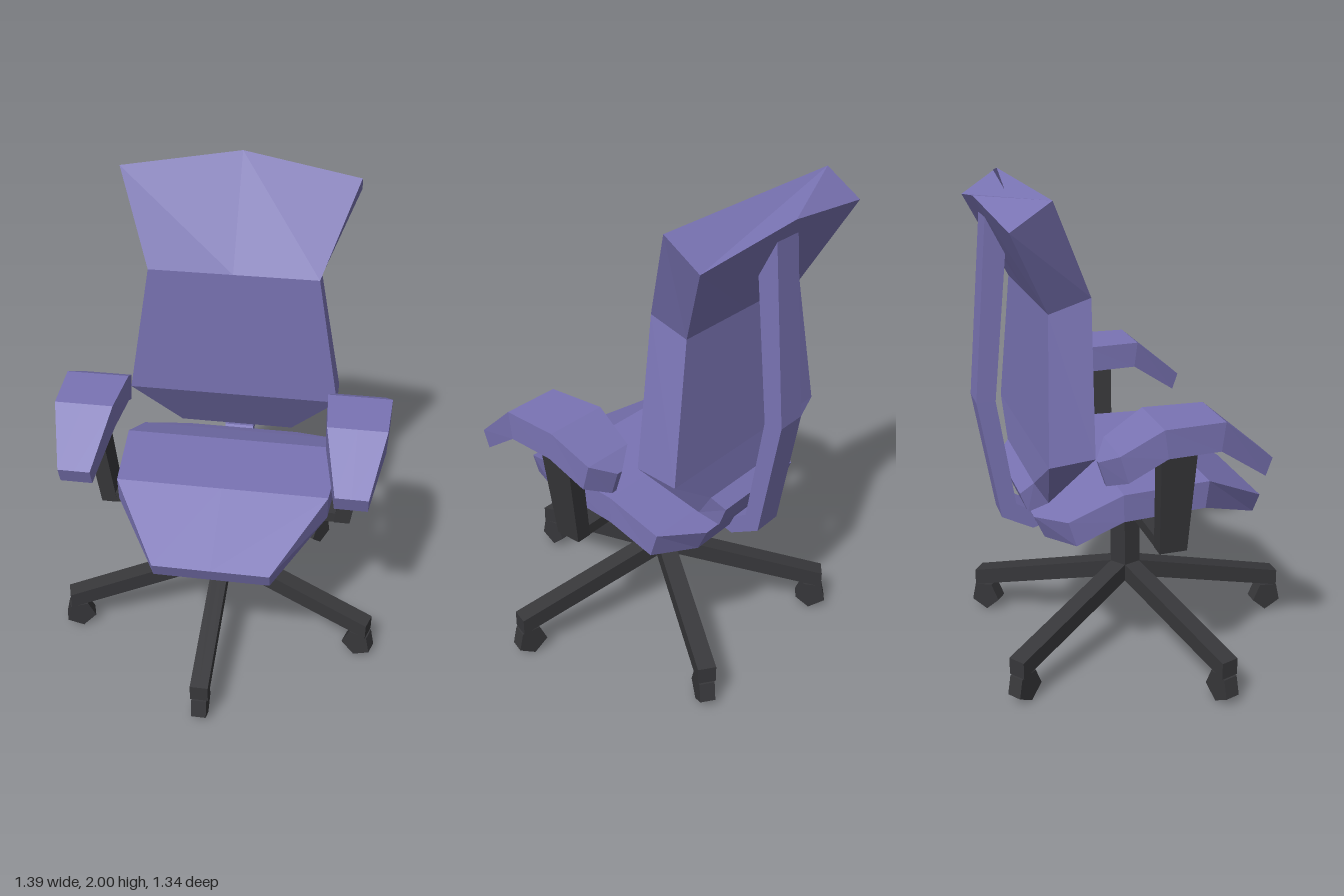
import * as THREE from 'three';

// Closed faceted solid through a list of equal-length cross-section loops.
function loft(sections) {
  const tris = [];
  const n = sections[0].length, last = sections.length - 1;
  for (let s = 0; s < last; s++) {
    for (let i = 0; i < n; i++) {
      const j = (i + 1) % n;
      const a = sections[s][i], b = sections[s][j], c = sections[s + 1][j], d = sections[s + 1][i];
      tris.push([a, b, c], [a, c, d]);
    }
  }
  for (let i = 1; i < n - 1; i++) {
    tris.push([sections[0][0], sections[0][i + 1], sections[0][i]]);
    tris.push([sections[last][0], sections[last][i], sections[last][i + 1]]);
  }
  // A negative volume means the faces point inward, so reverse them.
  const V = (p) => new THREE.Vector3(...p);
  let volume = 0;
  for (const [a, b, c] of tris) volume += V(a).dot(V(b).cross(V(c)));
  if (volume < 0) tris.forEach((t) => t.reverse());
  const geo = new THREE.BufferGeometry();
  geo.setAttribute('position', new THREE.Float32BufferAttribute(tris.flat(2), 3));
  geo.computeVertexNormals();
  return geo;
}

// Symmetric slab. Each row: half width, outer y, z, inner y, z,
// and optionally the outer and inner y, z on the centre line.
function slab(rows) {
  return loft(rows.map(([w, y1, z1, y2, z2, cy1 = y1, cz1 = z1, cy2 = y2, cz2 = z2]) => [
    [-w, y1, z1], [0, cy1, cz1], [w, y1, z1],
    [w, y2, z2], [0, cy2, cz2], [-w, y2, z2],
  ]));
}

// Rectangle in a horizontal plane.
const rect = (x0, x1, y, z0, z1) => [[x0, y, z0], [x1, y, z0], [x1, y, z1], [x0, y, z1]];

export function createModel() {
  const model = new THREE.Group();
  model.name = 'officeChair';
  const purple = new THREE.MeshStandardMaterial({ color: 0x7a74b4 });
  purple.name = 'purple upholstery';
  const black = new THREE.MeshStandardMaterial({ color: 0x37373a });
  black.name = 'black frame';

  const add = (name, geo, mat, parent = model) => {
    const mesh = new THREE.Mesh(geo, mat);
    mesh.name = name;
    parent.add(mesh);
    return mesh;
  };

  // Seat cushion with drooping front and rear
  add('seat', slab([
    [0.235, 0.66, 0.47, 0.59, 0.44],
    [0.435, 0.84, 0.165, 0.73, 0.15],
    [0.465, 0.84, -0.19, 0.73, -0.19],
    [0.44, 0.745, -0.40, 0.645, -0.37],
    [0.25, 0.70, -0.49, 0.61, -0.45],
  ]), purple).position.x = 0.02;

  // Backrest with flared headrest
  add('backrest', slab([
    [0.485, 1.95, -0.445, 1.85, -0.595, 2.0, -0.55, 1.91, -0.63],
    [0.35, 1.58, -0.28, 1.53, -0.44],
    [0.45, 1.0, -0.30, 0.985, -0.475],
    [0.25, 0.76, -0.435, 0.85, -0.49],
    [0.22, 0.72, -0.51, 0.80, -0.54],
  ]), purple);

  // Curved spine joining the backrest to the seat underside
  add('spine', slab([
    [0.065, 1.84, -0.60, 1.70, -0.53],
    [0.065, 1.13, -0.665, 1.13, -0.59],
    [0.065, 0.64, -0.585, 0.69, -0.525],
    [0.065, 0.575, -0.46, 0.645, -0.45],
    [0.065, 0.685, -0.08, 0.74, -0.08],
  ]), purple);

  // Armrests: pad and post on each side
  for (const side of [1, -1]) {
    const label = side > 0 ? 'left' : 'right';
    const pad = add(label + 'ArmPad', slab([
      [0.065, 0.99, 0.355, 0.92, 0.33],
      [0.118, 1.17, 0.145, 1.06, 0.13],
      [0.13, 1.17, -0.09, 1.06, -0.075],
      [0.105, 1.08, -0.245, 0.975, -0.215],
      [0.012, 1.03, -0.30, 0.935, -0.27],
    ]), purple);
    pad.position.set(side * 0.545 + 0.003, 0, side > 0 ? 0 : -0.02);

    const x = (v) => side * v + 0.012;
    add(label + 'ArmPost', loft([
      rect(x(0.468), x(0.535), 0.615, -0.075, 0.035),
      rect(x(0.525), x(0.597), 1.08, -0.09, 0.052),
    ]), black);
  }

  // Crossbar under the seat
  add('armCrossbar', new THREE.BoxGeometry(1.04, 0.045, 0.11), black).position.set(0.012, 0.64, -0.02);

  // Five-sided column, a flat facing forward
  const columnGeo = new THREE.CylinderGeometry(0.064, 0.064, 0.44, 5).toNonIndexed();
  columnGeo.computeVertexNormals();
  const column = add('column', columnGeo, black);
  column.rotation.y = Math.PI;
  column.position.set(0, 0.5, -0.05);

  // Star base: five sloping legs with pentagonal casters
  const base = new THREE.Group();
  base.name = 'starBase';
  base.position.z = -0.05;
  model.add(base);
  const legGeo = slab([
    [0.037, 0.355, 0, 0.28, 0],
    [0.037, 0.19, 0.70, 0.12, 0.70],
  ]);
  const casterGeo = new THREE.CylinderGeometry(0.067, 0.067, 0.062, 5).toNonIndexed();
  casterGeo.computeVertexNormals();
  casterGeo.rotateZ(Math.PI / 2);
  casterGeo.rotateX(Math.PI / 2 + 0.1);
  for (let i = 0; i < 5; i++) {
    const arm = new THREE.Group();
    arm.name = 'baseArm' + (i + 1);
    arm.rotation.y = (i * 2 * Math.PI) / 5;
    add('leg', legGeo, black, arm);
    add('caster', casterGeo, black, arm).position.set(0, 0.067, 0.66);
    base.add(arm);
  }
  return model;
}
